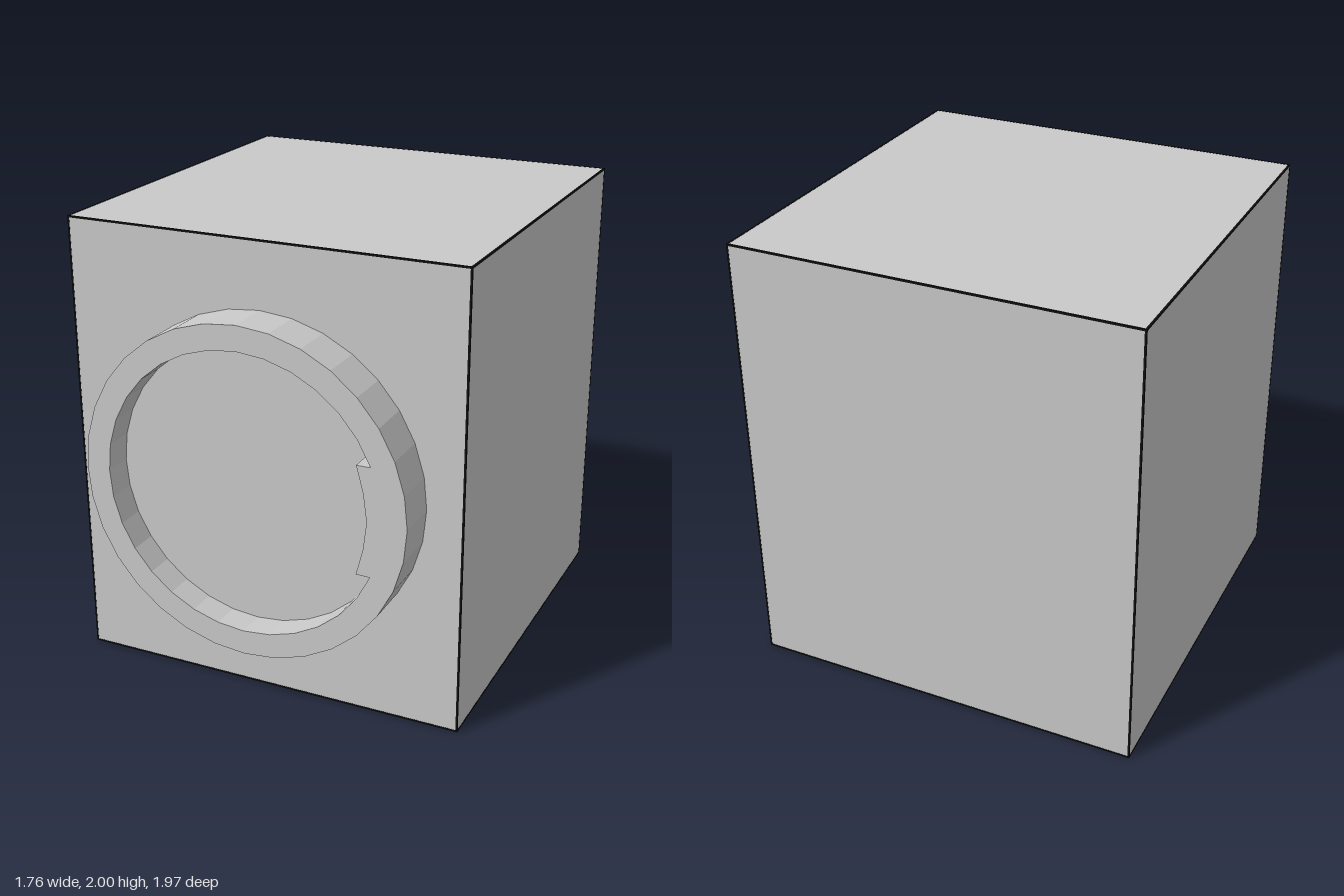
import * as THREE from 'three';

const SIDES = 32;
const CENTRE_Y = 0.9875;
const SIZE = [1.765, 2, 1.765];
const TRIM = 0.008;

// Points on a circle, stepping whole facets from one index to another
function arc(radius, from, to) {
  const points = [];
  for (let i = from; i <= to; i++) {
    const a = (i / SIDES) * Math.PI * 2;
    points.push(new THREE.Vector2(Math.cos(a) * radius, Math.sin(a) * radius));
  }
  return points;
}

function flatMaterial(name, color) {
  const material = new THREE.MeshStandardMaterial({ color });
  material.name = name;
  return material;
}

export function createModel() {
  const group = new THREE.Group();
  const grey = flatMaterial('light grey', 0xc9c9c9);
  const black = flatMaterial('black', 0x101010);

  const add = (name, geometry, material, x, y, z) => {
    const mesh = new THREE.Mesh(geometry, material);
    mesh.name = name;
    mesh.position.set(x, y, z);
    group.add(mesh);
  };

  // Main block, a hair smaller than the trim around it
  add('body', new THREE.BoxGeometry(...SIZE.map((s) => s - 0.002)), grey, 0, 1, -0.1);

  // Thin dark trim along all twelve edges of the block
  for (let axis = 0; axis < 3; axis++) {
    const dims = [TRIM, TRIM, TRIM];
    dims[axis] = SIZE[axis];
    for (const a of [-1, 1]) for (const b of [-1, 1]) {
      const p = [0, 0, 0];
      const u = (axis + 1) % 3, v = (axis + 2) % 3;
      p[u] = a * (SIZE[u] - TRIM) / 2;
      p[v] = b * (SIZE[v] - TRIM) / 2;
      add('edgeTrim', new THREE.BoxGeometry(...dims), black, p[0], p[1] + 1, p[2] - 0.1);
    }
  }

  // Raised collar, its opening narrowed by a tab on the +x side
  const collar = new THREE.Shape(arc(0.725, 0, SIDES - 1));
  const tab = [[0.51, -0.235], [0.54, -0.12], [0.555, 0], [0.54, 0.12], [0.51, 0.235]];
  collar.holes.push(new THREE.Path([
    ...arc(0.617, 2, SIDES - 2),
    ...tab.map(([x, y]) => new THREE.Vector2(x, y)),
  ]));
  add('collar', new THREE.ExtrudeGeometry(collar, { depth: 0.2, bevelEnabled: false }), grey, 0, CENTRE_Y, 0.7825);

  // Recessed floor inside the collar
  add('collarFloor', new THREE.CircleGeometry(0.63, SIDES), grey, 0, CENTRE_Y, 0.855);

  return group;
}
